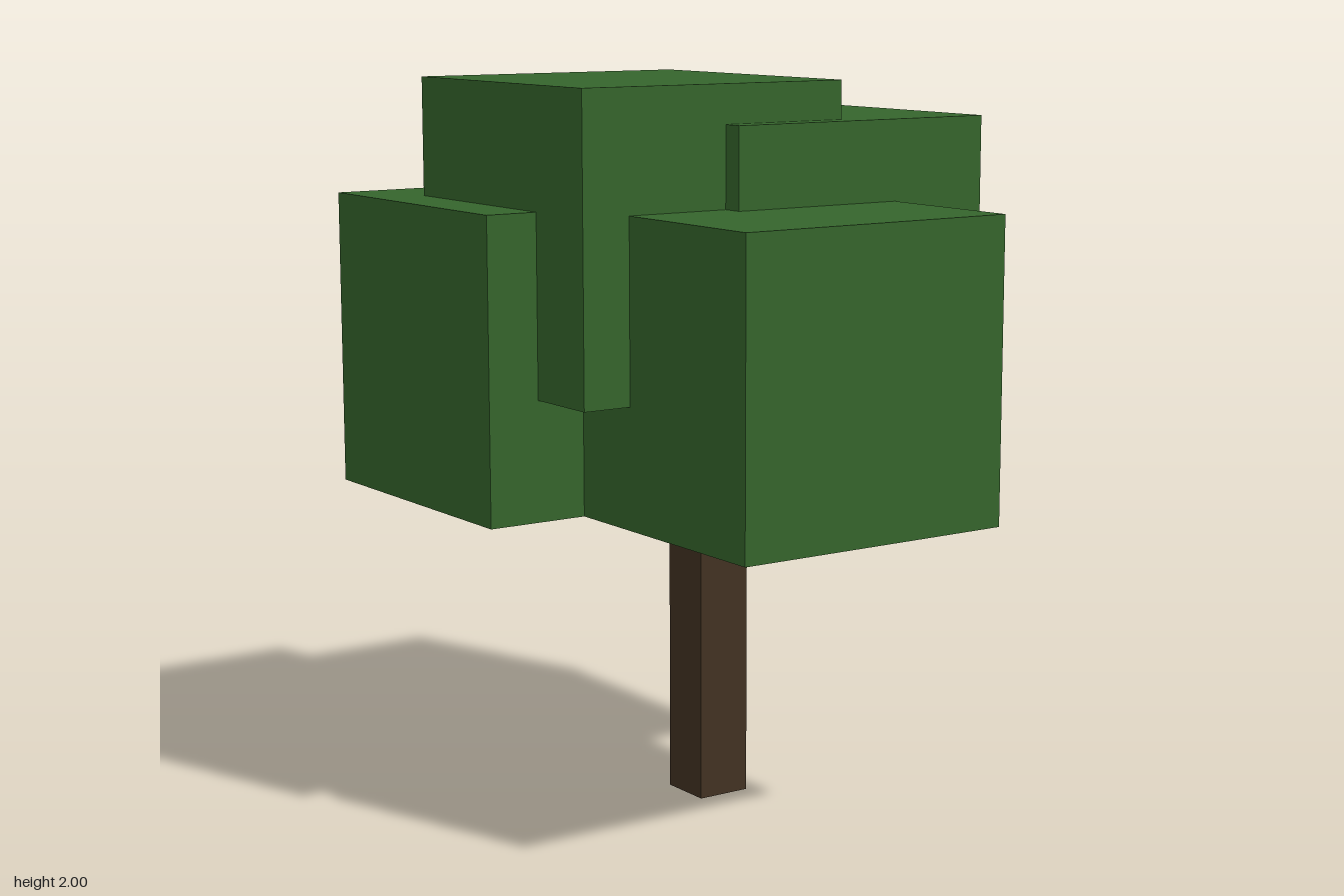
import * as THREE from 'three';

export function createModel() {
  const tree = new THREE.Group();
  tree.name = 'tree';

  const leafGreen = new THREE.MeshStandardMaterial({ color: 0x35652c });
  leafGreen.name = 'leafGreen';
  const barkBrown = new THREE.MeshStandardMaterial({ color: 0x423222 });
  barkBrown.name = 'barkBrown';

  // Square trunk, running up into the foliage
  const trunkWidth = 0.155, trunkHeight = 1.3;
  const trunk = new THREE.Mesh(new THREE.BoxGeometry(trunkWidth, trunkHeight, trunkWidth), barkBrown);
  trunk.name = 'trunk';
  trunk.position.set(0.052, trunkHeight / 2, -0.052);
  tree.add(trunk);

  // Four equal cubes of foliage, overlapping around the trunk
  const leafSize = 0.816;
  const leafCube = new THREE.BoxGeometry(leafSize, leafSize, leafSize);
  const foliage = [
    ['frontFoliage', -0.008, 1.267, 0.365],
    ['backFoliage', -0.294, 1.267, -0.365],
    ['leftFoliage', 0.292, 1.487, -0.082],
    ['topFoliage', -0.147, 1.592, -0.141],
  ];
  for (const [name, x, y, z] of foliage) {
    const cube = new THREE.Mesh(leafCube, leafGreen);
    cube.name = name;
    cube.position.set(x, y, z);
    tree.add(cube);
  }
  return tree;
}
